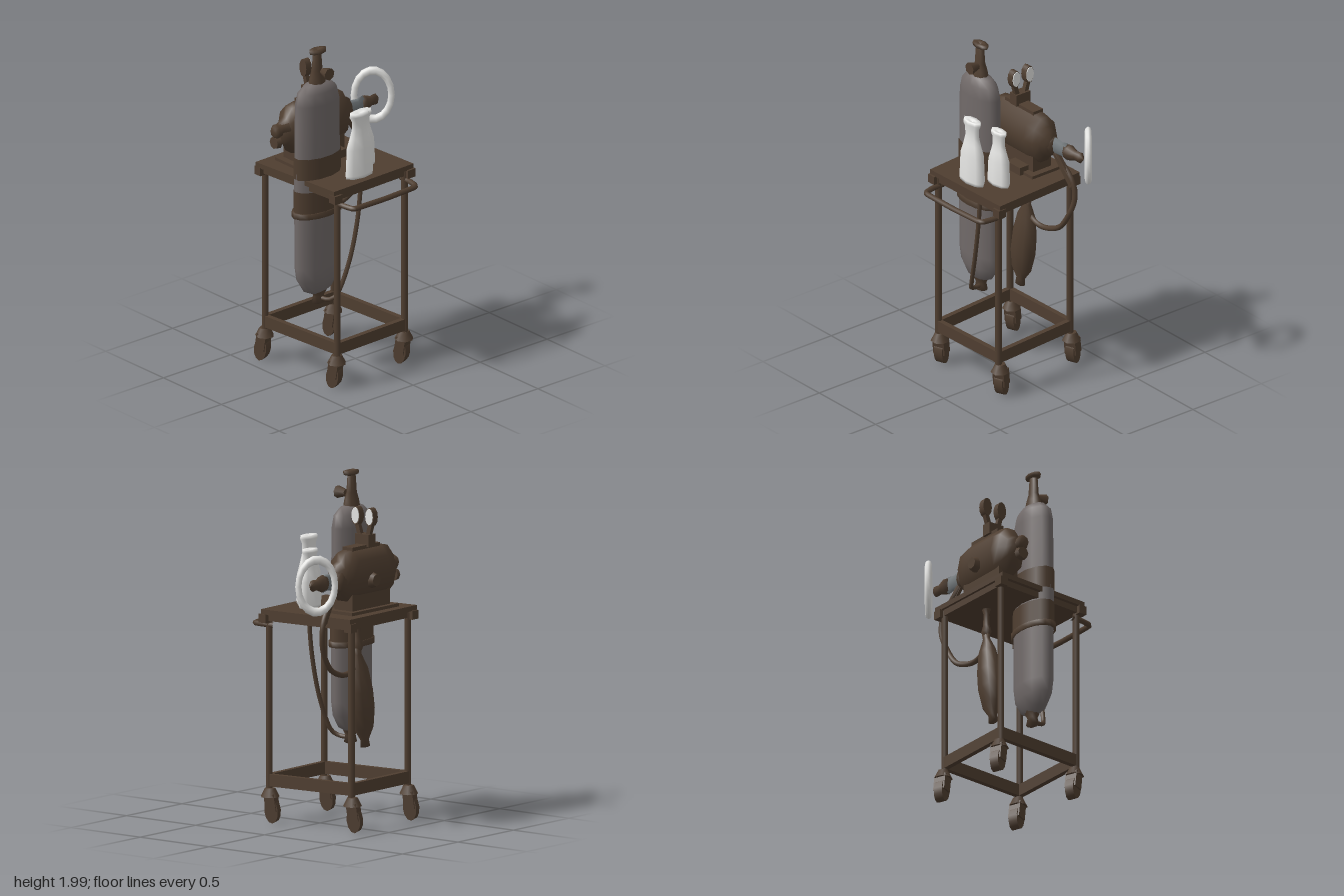
import * as THREE from 'three';

const mat = (name, color, side = THREE.FrontSide) => {
  const m = new THREE.MeshStandardMaterial({ color, side });
  m.name = name;
  return m;
};

export function createModel() {
  const model = new THREE.Group();
  const brown = mat('dark brown', 0x4f3e30);
  const grey = mat('tank grey', 0x716a69);
  const white = mat('white', 0xe6e6e4);
  const steel = mat('steel', 0x747a7d);
  const V = (a) => new THREE.Vector3(...a);

  const add = (name, geo, material, pos = [0, 0, 0], parent = model) => {
    const mesh = new THREE.Mesh(geo, material);
    mesh.name = name;
    mesh.position.set(...pos);
    parent.add(mesh);
    return mesh;
  };
  const box = (name, size, pos, m = brown) => add(name, new THREE.BoxGeometry(...size), m, pos);
  // Turned part with an oval section: profile holds [radius, height]
  const turned = (name, profile, segs, sx, sz, m, pos) =>
    add(name, new THREE.LatheGeometry(profile.map((p) => new THREE.Vector2(...p)), segs).scale(sx, 1, sz), m, pos);
  // Same, but lying along +x; sy and sz scale the section
  const lying = (name, profile, segs, sy, sz, m, pos) =>
    add(name, new THREE.LatheGeometry(profile.map((p) => new THREE.Vector2(...p)), segs)
      .scale(sy, 1, sz).rotateZ(-Math.PI / 2), m, pos);
  const tube = (name, pts, r, n = 24, tension = 0.5) =>
    add(name, new THREE.TubeGeometry(new THREE.CatmullRomCurve3(pts.map(V), false, 'catmullrom', tension), n, r, 7), brown);
  // Straight bar between two points
  const bar = (name, a, b, w, h) => {
    const A = V(a), B = V(b);
    const mesh = add(name, new THREE.BoxGeometry(w, h, A.distanceTo(B)), brown, A.clone().add(B).multiplyScalar(0.5).toArray());
    mesh.lookAt(B);
    return mesh;
  };
  const slab = (name, corners, top, depth) => {
    const shape = new THREE.Shape(corners.map((c) => new THREE.Vector2(...c)));
    const geo = new THREE.ExtrudeGeometry(shape, { depth, bevelEnabled: false }).rotateX(Math.PI / 2);
    return add(name, geo, brown, [0, top, 0]);
  };

  // Trolley top with a recessed apron
  slab('tableTop', [[-0.45, -0.34], [0.17, -0.355], [0.21, 0.26], [-0.395, 0.275]], 1.237, 0.03);
  slab('tableApron', [[-0.425, -0.325], [0.15, -0.34], [0.19, 0.245], [-0.375, 0.26]], 1.21, 0.04);

  // Legs, lower rails and casters
  const legs = [[-0.4, -0.315], [0.12, -0.325], [0.165, 0.235], [-0.35, 0.25]];
  legs.forEach(([x, z], i) => {
    add('leg', new THREE.CylinderGeometry(0.019, 0.019, 1.0, 8), brown, [x, 0.7, z]);
    const [nx, nz] = legs[(i + 1) % 4];
    bar('lowerRail', [x, 0.255, z], [nx, 0.255, nz], 0.03, 0.07);

    const out = z < 0 ? -1 : 1;
    const caster = new THREE.Group();
    caster.name = 'caster';
    caster.position.set(x, 0, z - 0.018);
    caster.rotation.y = 0.35;
    model.add(caster);
    add('casterCollar', new THREE.CylinderGeometry(0.03, 0.055, 0.05, 7), brown, [0, 0.185, 0.01], caster);
    const fork = add('casterFork', new THREE.BoxGeometry(0.075, 0.1, 0.06), brown, [0, 0.125, 0], caster);
    fork.rotation.x = 0.15;
    const wheel = add('casterWheel', new THREE.CylinderGeometry(0.04, 0.04, 0.055, 12).rotateZ(Math.PI / 2).scale(1, 1.8, 1),
      brown, [0, 0.082, -0.005], caster);
    wheel.rotation.x = 0.12;
    box('cornerBracket', [0.055, 0.05, 0.05], [x + Math.sign(x + 0.12) * 0.022, 1.185, z + out * 0.012]);
  });

  // Push handle
  tube('pushHandle', [[-0.345, 1.145, 0.22], [-0.345, 1.145, 0.29], [-0.332, 1.143, 0.35], [-0.31, 1.143, 0.367],
    [-0.08, 1.14, 0.364], [0.13, 1.143, 0.356], [0.155, 1.143, 0.34], [0.168, 1.145, 0.27], [0.168, 1.145, 0.2]], 0.016, 40, 0.2);

  // Gas cylinder
  const tx = -0.285;
  turned('gasCylinder', [[0.04, 0.5], [0.1, 0.53], [0.143, 0.6], [0.155, 0.68], [0.158, 1.2], [0.152, 1.68],
    [0.135, 1.75], [0.09, 1.79], [0, 1.81]], 12, 1, 0.52, grey, [tx, 0, 0]);
  turned('cylinderFoot', [[0, 0.425], [0.045, 0.44], [0.035, 0.48], [0.06, 0.525]], 8, 1, 0.7, brown, [tx + 0.01, 0, 0]);
  turned('cylinderBand', [[0.155, 0.998], [0.172, 0.998], [0.172, 1.03], [0.155, 1.03]], 16, 1, 0.56, brown, [tx, 0, 0]);
  // Dark plates wrapped on the cylinder
  [[1.09, 0.14, -0.3, 1.5], [1.3, 0.13, 0.9, 1.8]].forEach(([y, h, start, len]) =>
    add('cylinderPlate', new THREE.CylinderGeometry(0.162, 0.162, h, 12, 1, start, len).scale(1, 1, 0.55), brown, [tx, y, 0]));

  // Valve on the gas cylinder
  turned('valveStem', [[0.058, 1.79], [0.05, 1.83], [0.036, 1.87], [0.028, 1.97], [0, 1.98]], 8, 1, 0.7, brown, [tx, 0, 0]);
  turned('valveHandle', [[0.02, 1.965], [0.058, 1.975], [0.06, 1.995], [0.03, 2.0], [0, 1.988]], 8, 1, 0.55, brown, [tx + 0.005, 0, 0]);
  add('valveOutlet', new THREE.CylinderGeometry(0.037, 0.02, 0.06, 7).rotateX(Math.PI / 2), brown, [tx + 0.015, 1.865, 0.06]);

  // Two flasks
  const flask = [[0, 0], [0.95, 0], [1, 0.05], [0.92, 0.45], [0.68, 0.62], [0.54, 0.74], [0.55, 0.88], [0.7, 0.95], [0.66, 1], [0.3, 0.99], [0, 0.97]];
  [[-0.13, 0.185, 0.102, 0.048, 0.39], [-0.015, 0.085, 0.087, 0.046, 0.335]].forEach(([x, z, rx, rz, h]) =>
    turned('flask', flask.map(([r, y]) => [r, y * h]), 8, rx, rz, white, [x, 1.237, z]));

  // Machine body with end cap and base
  lying('machineBody', [[0, -0.4], [0.4, -0.4], [0.55, -0.36], [0.93, -0.33], [1, -0.27], [1, -0.02], [0.93, 0.05],
    [0.6, 0.075], [0.5, 0.11], [0, 0.13]], 10, 0.155, 0.098, brown, [0, 1.45, -0.195]);
  lying('machineEndCap', [[0, 0], [0.03, 0], [0.045, 0.02], [0.035, 0.05], [0.055, 0.1]], 8, 1, 0.85, brown, [-0.452, 1.47, -0.185]);
  add('endKnob', new THREE.CylinderGeometry(0.035, 0.04, 0.03, 8).rotateZ(Math.PI / 2), brown, [-0.43, 1.4, -0.19]);
  box('machineBase', [0.34, 0.13, 0.13], [-0.14, 1.295, -0.195]);
  box('machineFoot', [0.42, 0.02, 0.2], [-0.14, 1.245, -0.19]);
  box('frontFoot', [0.12, 0.05, 0.1], [-0.07, 1.26, -0.115]);
  add('backKnob', new THREE.CylinderGeometry(0.035, 0.05, 0.04, 8).rotateX(-Math.PI / 2), brown, [-0.12, 1.42, -0.295]);
  box('topRib', [0.25, 0.025, 0.07], [-0.13, 1.6, -0.195]);

  // Gauges on stems
  [[-0.145, 1.77], [-0.245, 1.77]].forEach(([z, y]) => {
    const disc = new THREE.CylinderGeometry(0.03, 0.03, 0.04, 12).rotateZ(Math.PI / 2).scale(1, 1.8, 1);
    add('gauge', disc, brown, [-0.16, y, z]);
    const face = new THREE.CylinderGeometry(0.026, 0.026, 0.006, 12).rotateZ(Math.PI / 2).scale(1, 1.8, 1);
    add('gaugeFace', face, white, [-0.138, y + 0.003, z]);
    bar('gaugeStem', [-0.16, 1.56, -0.195], [-0.16, y - 0.04, z], 0.026, 0.026);
  });
  box('gaugeManifold', [0.06, 0.07, 0.1], [-0.165, 1.635, -0.195]);

  // Shaft to the mask
  lying('shaftCollar', [[0, -0.02], [0.075, 0], [0.07, 0.035], [0.045, 0.06], [0, 0.06]], 8, 1, 0.7, brown, [0.07, 1.435, -0.205]);
  lying('shaft', [[0.045, 0], [0.052, 0.02], [0.046, 0.08], [0.055, 0.12], [0, 0.12]], 8, 1, 0.42, steel, [0.115, 1.44, -0.21]);
  const tip = lying('shaftTip', [[0, 0], [0.045, 0], [0.05, 0.03], [0.03, 0.08], [0.034, 0.12], [0, 0.145]], 8, 1, 0.7, brown, [0.222, 1.44, -0.213]);
  tip.rotation.y = 0.07;

  // Padded mask ring
  const ring = add('maskRing', new THREE.TorusGeometry(0.15, 0.026, 8, 18).scale(0.71, 1, 0.75), white, [0.357, 1.447, -0.263]);
  ring.rotation.y = -0.67;

  // Breathing bag and its neck
  const bag = turned('breathingBag', [[0, 0], [0.035, 0.0], [0.03, 0.04], [0.07, 0.11], [0.089, 0.22], [0.086, 0.33], [0.065, 0.45],
    [0.025, 0.54], [0.03, 0.58], [0, 0.59]], 10, 1, 0.68, brown, [-0.165, 0.45, -0.195]);
  bag.rotation.z = -0.12;
  turned('bagNeck', [[0.02, 1.0], [0.034, 1.03], [0.022, 1.07], [0.018, 1.14], [0.032, 1.18]], 8, 1, 0.8, brown, [-0.1, 0, -0.195]);

  // Hoses
  tube('breathingHose', [[0.1, 1.42, -0.205], [0.17, 1.34, -0.225], [0.25, 1.25, -0.235], [0.272, 1.15, -0.235],
    [0.24, 1.04, -0.22], [0.16, 0.93, -0.21], [0.03, 0.885, -0.2], [-0.07, 0.915, -0.195], [-0.1, 1.01, -0.195]], 0.016, 40);
  bar('hoseStrap', [0.125, 1.4, -0.212], [0.255, 1.22, -0.235], 0.02, 0.04);
  tube('gasHose', [[-0.27, 0.465, 0], [-0.255, 0.475, 0.08], [-0.22, 0.53, 0.115], [-0.16, 0.72, 0.14],
    [-0.115, 0.95, 0.152], [-0.09, 1.18, 0.155]], 0.013, 30);

  return model;
}
